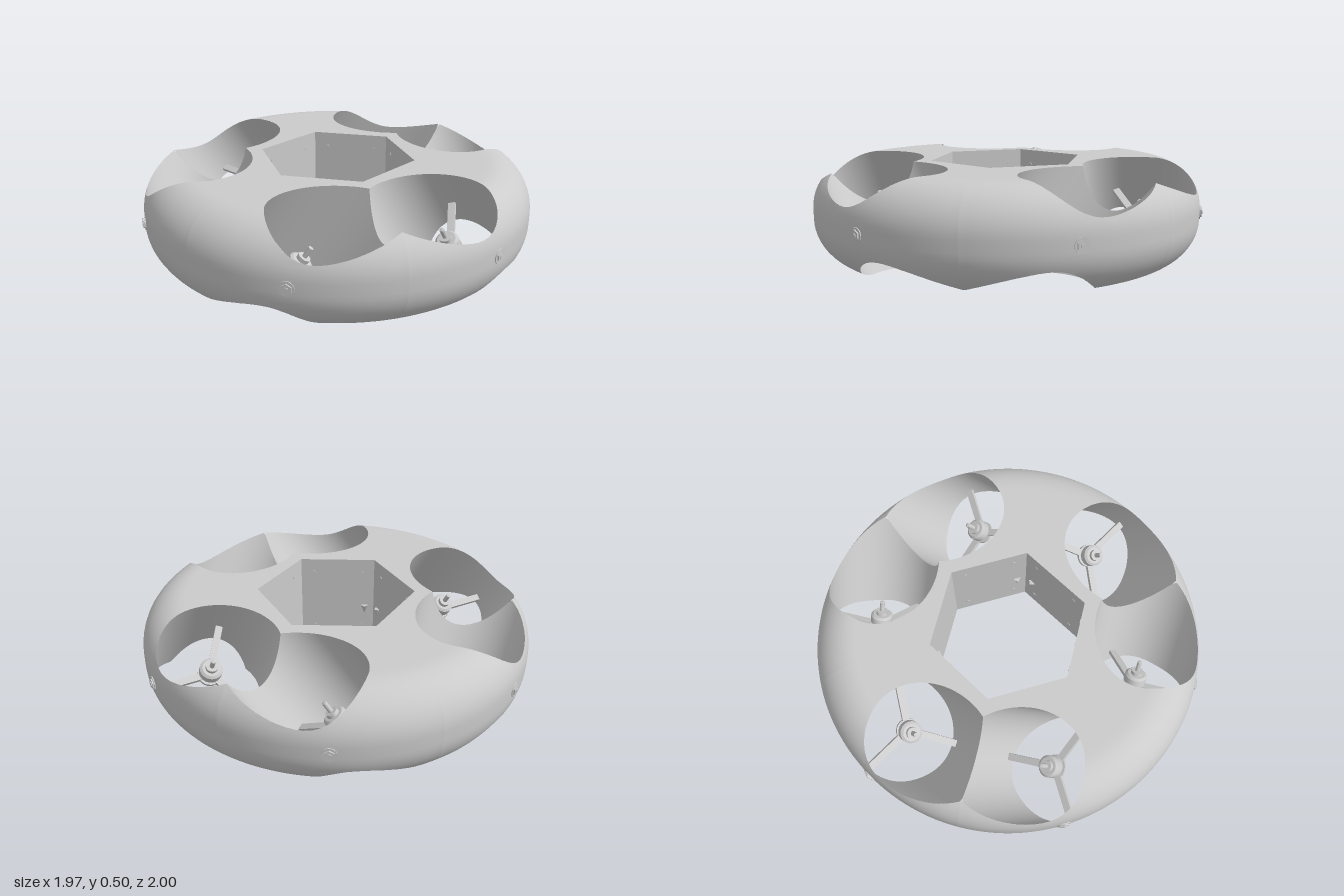
import * as THREE from 'three';
import { toCreasedNormals } from 'three/addons/utils/BufferGeometryUtils.js';

const H = 0.495, OUTER = 0.985, CORNER = 0.22, HEX = 0.346;   // ring body
const DUCT_R = 0.275, DUCT_C = 0.69, TILT = 0.575;            // tilted ducts
const SECTOR = Math.PI / 6;
const mat = new THREE.MeshStandardMaterial({ color: 0xcccccc });

function mesh(name, geometry, parent) {
  const m = new THREE.Mesh(geometry, mat);
  m.name = name;
  parent.add(m);
  return m;
}

// Each 60 degree sector is built facing +z; lean = +1 tips the duct top to +x
function ductFrame(lean) {
  const s = Math.sin(TILT), c = Math.cos(TILT);
  return {
    center: new THREE.Vector3(0, H / 2, DUCT_C),
    axis: new THREE.Vector3(lean * s, c, 0),
    side: new THREE.Vector3(c, -lean * s, 0),
    out: new THREE.Vector3(0, 0, 1),
  };
}

function insideSector(p) {
  if (Math.abs(p.x) > p.z * Math.tan(SECTOR) || p.z < HEX) return false;
  const q = Math.max(Math.hypot(p.x, p.z) - (OUTER - CORNER), 0);
  const w = Math.max(Math.abs(p.y - H / 2) - (H / 2 - CORNER), 0);
  return Math.hypot(q, w) <= CORNER;
}

// Closed cross-section of the ring at one angle: [radius, height] pairs
function profile(theta) {
  const inner = HEX / Math.cos(theta), flat = OUTER - CORNER, pts = [];
  for (let i = 0; i < 16; i++) pts.push([inner + (flat - inner) * i / 16, H]);
  for (let i = 0; i <= 14; i++) {
    const a = i / 14 * Math.PI / 2;
    pts.push([flat + CORNER * Math.sin(a), H - CORNER + CORNER * Math.cos(a)]);
  }
  const lower = pts.map(([r, y]) => [r, H - y]).reverse();
  return [...pts, ...lower, pts[0]];
}

function toGeometry(points) {
  const g = new THREE.BufferGeometry().setFromPoints(points);
  return toCreasedNormals(g, 0.6);
}

// Ring skin of one sector, trimmed where the duct passes through
function skinGeometry(frame) {
  const N = 28, out = [], rows = [];
  const dist = (p) => {
    const d = p.clone().sub(frame.center);
    return d.addScaledVector(frame.axis, -d.dot(frame.axis)).length() - DUCT_R;
  };
  for (let i = 0; i <= N; i++) {
    const t = -SECTOR + 2 * SECTOR * i / N;
    rows.push(profile(t).map(([r, y]) => {
      const p = new THREE.Vector3(r * Math.sin(t), y, r * Math.cos(t));
      return { p, d: dist(p) };
    }));
  }
  const clip = (tri) => {
    const poly = [];
    tri.forEach((a, k) => {
      const b = tri[(k + 1) % 3];
      if (a.d >= 0) poly.push(a.p);
      if (a.d >= 0 !== b.d >= 0) poly.push(a.p.clone().lerp(b.p, a.d / (a.d - b.d)));
    });
    for (let k = 2; k < poly.length; k++) out.push(poly[0], poly[k - 1], poly[k]);
  };
  for (let i = 0; i < N; i++) {
    for (let j = 0; j < rows[0].length - 1; j++) {
      const a = rows[i][j], b = rows[i][j + 1], c = rows[i + 1][j + 1], d = rows[i + 1][j];
      clip([a, b, d]);
      clip([b, c, d]);
    }
  }
  return toGeometry(out);
}

// Duct wall: lines along the axis, each ending where it leaves the sector
function ductGeometry(frame) {
  const N = 96, out = [], lines = [];
  for (let i = 0; i <= N; i++) {
    const a = i / N * Math.PI * 2;
    const base = frame.center.clone()
      .addScaledVector(frame.side, DUCT_R * Math.cos(a))
      .addScaledVector(frame.out, DUCT_R * Math.sin(a));
    const end = (dir) => {
      let lo = 0, hi = 1;
      for (let k = 0; k < 24; k++) {
        const m = (lo + hi) / 2;
        if (insideSector(base.clone().addScaledVector(frame.axis, dir * m))) lo = m;
        else hi = m;
      }
      return base.clone().addScaledVector(frame.axis, dir * lo);
    };
    lines.push([end(-1), end(1)]);
  }
  for (let i = 0; i < N; i++) {
    const [a, b] = lines[i], [c, d] = lines[i + 1];
    out.push(a, c, b, c, d, b);
  }
  return toGeometry(out);
}

// Motor on a three-armed mount, standing along the duct axis
function buildMotor(frame) {
  const g = new THREE.Group();
  g.name = 'motorAssembly';
  g.position.copy(frame.center);
  g.quaternion.setFromRotationMatrix(
    new THREE.Matrix4().makeBasis(frame.side, frame.axis, frame.out));
  const outline = [[0, -0.1], [0.06, -0.1], [0.06, -0.085], [0.045, -0.085], [0.045, -0.065],
    [0.057, -0.065], [0.057, -0.025], [0.045, -0.015], [0.03, -0.015], [0.03, 0.005],
    [0.012, 0.005], [0.012, 0.06], [0, 0.065]].map(([x, y]) => new THREE.Vector2(x, y));
  mesh('motor', toCreasedNormals(new THREE.LatheGeometry(outline, 24), 0.5), g);
  for (let i = 0; i < 3; i++) {
    const arm = new THREE.Group();
    arm.name = 'mountArm';
    arm.rotation.y = i * Math.PI * 2 / 3;
    mesh('armBar', new THREE.BoxGeometry(0.036, 0.02, 0.25), arm).position.set(0, -0.09, 0.15);
    mesh('plateScrew', new THREE.CylinderGeometry(0.008, 0.008, 0.008, 10), arm)
      .position.set(0, -0.102, 0.035);
    g.add(arm);
  }
  return g;
}

// Hex nut with washer and bolt end on the outer rim
function buildNut() {
  const g = new THREE.Group();
  g.name = 'rimNut';
  g.position.set(0, H / 2, OUTER);
  g.rotation.x = Math.PI / 2;
  [['washer', 0.036, 0.008, 24, 0], ['nut', 0.027, 0.018, 6, 0.002],
    ['boltEnd', 0.012, 0.02, 16, 0.005]].forEach(([name, r, h, n, y]) => {
    mesh(name, toCreasedNormals(new THREE.CylinderGeometry(r, r, h, n), 0.5), g).position.y = y;
  });
  return g;
}

export function createModel() {
  const model = new THREE.Group();
  model.name = 'ductedRing';
  const parts = [1, -1].map((lean) => {
    const frame = ductFrame(lean);
    return { lean, frame, skin: skinGeometry(frame), duct: ductGeometry(frame) };
  });

  // Neighbouring sectors mirror each other, so the ducts meet in pairs
  for (let k = 0; k < 6; k++) {
    const { lean, frame, skin, duct } = parts[k % 2];
    const sector = new THREE.Group();
    sector.name = 'sector';
    sector.rotation.y = k * Math.PI / 3;
    mesh('ringSkin', skin, sector);
    mesh('ductWall', duct, sector);
    sector.add(buildMotor(frame), buildNut());

    // Screws in the corners of the inner wall
    for (const x of [-0.13, 0.13]) {
      for (const y of [0.08, 0.415]) {
        const screw = mesh('wallScrew', new THREE.CylinderGeometry(0.011, 0.011, 0.006, 12), sector);
        screw.position.set(x, y, HEX);
        screw.rotation.x = Math.PI / 2;
      }
    }
    // Small pointed tab beside the corner where the lower duct mouths meet
    const tab = mesh('wallTab', new THREE.ConeGeometry(0.02, 0.05, 4), sector);
    tab.position.set(-lean * 0.15, 0.19, HEX - 0.004);
    tab.rotation.x = Math.PI;
    model.add(sector);
  }
  return model;
}
